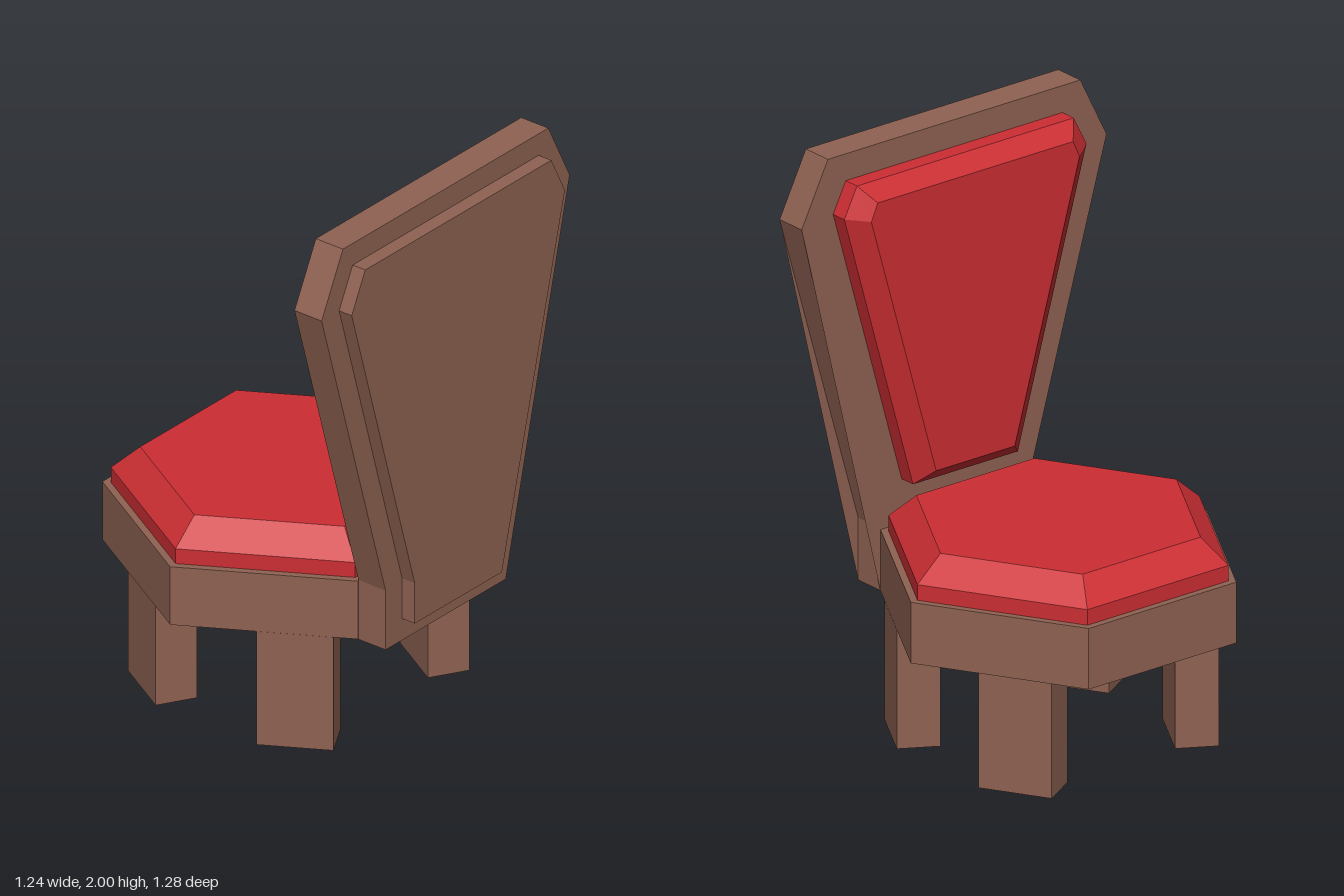
import * as THREE from 'three';

const wood = new THREE.MeshStandardMaterial({ color: 0x8f6252, flatShading: true });
const fabric = new THREE.MeshStandardMaterial({ color: 0xcc2e33, flatShading: true });
const SEAT_X = -0.085;

// Mirrors a half outline of [halfWidth, y] pairs (bottom to top) into a closed ring at x
function ring(x, half) {
  return [
    ...half.map(([w, y]) => [x, y, -w]),
    ...[...half].reverse().map(([w, y]) => [x, y, w]),
  ];
}

// Solid through convex rings ordered by rising x, closed at both ends
function loft(rings) {
  const pos = [];
  const tri = (a, b, c) => pos.push(...a, ...b, ...c);
  const n = rings[0].length;
  for (let s = 0; s < rings.length - 1; s++) {
    const a = rings[s], b = rings[s + 1];
    for (let i = 0; i < n; i++) {
      const j = (i + 1) % n;
      tri(a[i], a[j], b[j]);
      tri(a[i], b[j], b[i]);
    }
  }
  const first = rings[0], last = rings[rings.length - 1];
  for (let i = 1; i < n - 1; i++) {
    tri(first[0], first[i + 1], first[i]);
    tri(last[0], last[i], last[i + 1]);
  }
  const g = new THREE.BufferGeometry();
  g.setAttribute('position', new THREE.Float32BufferAttribute(pos, 3));
  g.computeVertexNormals();
  return g;
}

// Six-sided block with corners on the z axis
function hexBlock(rTop, rBottom, y0, y1) {
  return new THREE.CylinderGeometry(rTop, rBottom, y1 - y0, 6).translate(SEAT_X, (y0 + y1) / 2, 0);
}

export function createModel() {
  const chair = new THREE.Group();
  chair.name = 'chair';
  const add = (name, geometry, material) => {
    const mesh = new THREE.Mesh(geometry, material);
    mesh.name = name;
    chair.add(mesh);
    return mesh;
  };

  // Seat
  add('seatBase', hexBlock(0.62, 0.62, 0.42, 0.635), wood);
  add('seatCushionRim', hexBlock(0.592, 0.592, 0.635, 0.69), fabric);
  add('seatCushionTop', hexBlock(0.495, 0.592, 0.69, 0.775), fabric);

  // Legs, turned to follow the slanted seat edges
  for (const sx of [-1, 1]) {
    for (const sz of [-1, 1]) {
      const leg = add('leg', new THREE.BoxGeometry(0.254, 0.42, 0.145), wood);
      leg.position.set(-0.05 + sx * 0.285, 0.21, sz * 0.352);
      leg.rotation.y = sx * sz * Math.PI / 6;
    }
  }

  // Backrest slab and the raised panel behind it
  const slab = [[0.31, 0.42], [0.31, 0.64], [0.64, 1.78], [0.53, 2]];
  add('backrest', loft([ring(0.453, slab), ring(0.567, slab)]), wood);
  const panel = [[0.225, 0.5], [0.225, 0.65], [0.55, 1.78], [0.48, 1.92]];
  add('backPanel', loft([ring(0.567, panel), ring(0.62, panel)]), wood);

  // Bevelled back cushion
  const rim = [[0.22, 0.79], [0.508, 1.8], [0.455, 1.905]];
  const face = [[0.165, 0.84], [0.437, 1.79], [0.41, 1.85]];
  add('backCushion', loft([ring(0.343, face), ring(0.395, rim), ring(0.453, rim)]), fabric);

  return chair;
}
